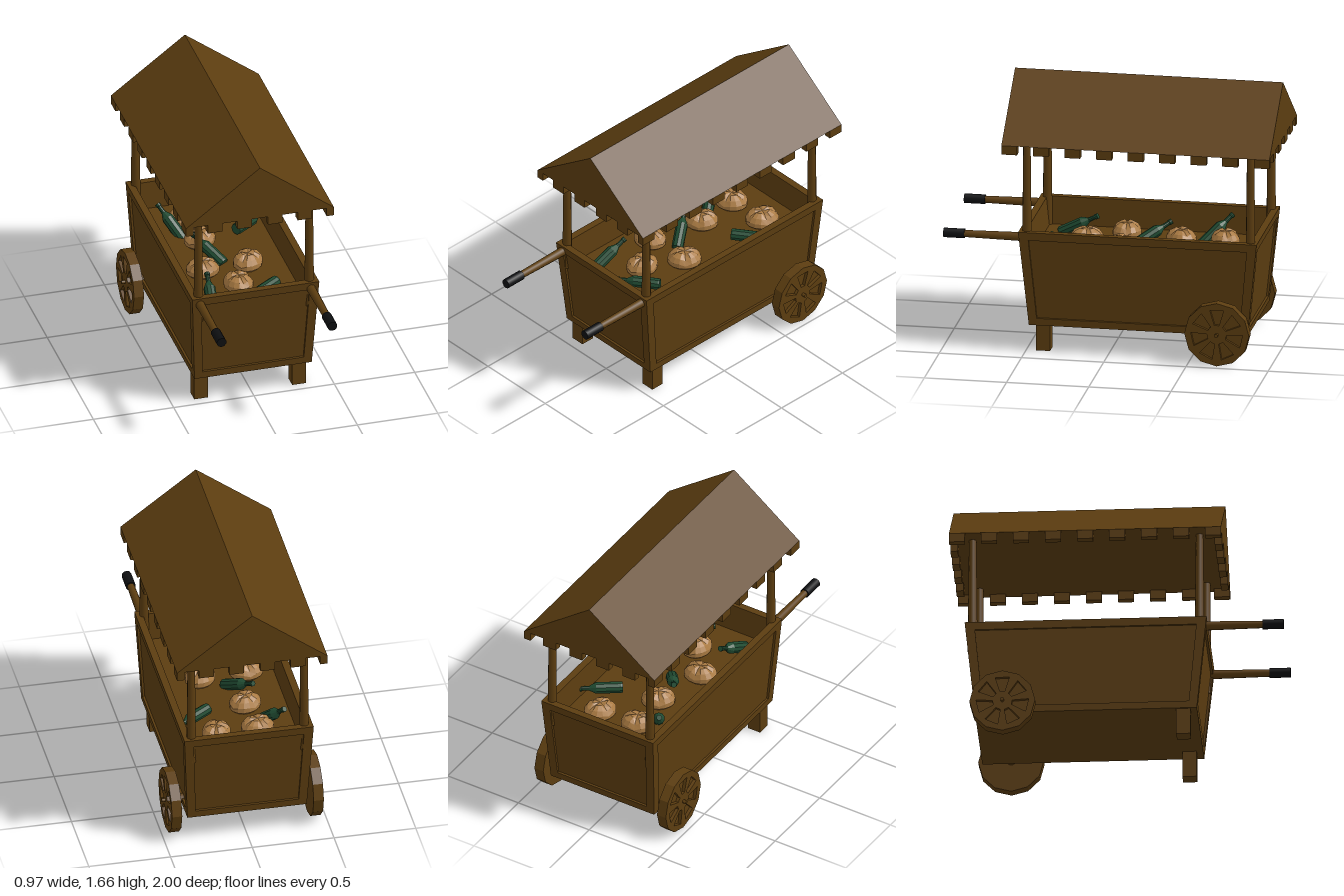
import * as THREE from 'three';

const wood = new THREE.MeshStandardMaterial({ color: 0x5c3d10 });
wood.name = 'brown wood';
const black = new THREE.MeshStandardMaterial({ color: 0x0e0f11 });
black.name = 'black grip';
const crust = new THREE.MeshStandardMaterial({ color: 0xa97a42 });
crust.name = 'bread crust';
const glass = new THREE.MeshStandardMaterial({ color: 0x1f4a31 });
glass.name = 'green glass';
for (const m of [wood, black, crust, glass]) m.flatShading = false;

const V = (x, y, z) => new THREE.Vector3(x, y, z);

function add(parent, name, geometry, material, x = 0, y = 0, z = 0) {
  const mesh = new THREE.Mesh(geometry, material);
  mesh.name = name;
  mesh.position.set(x, y, z);
  parent.add(mesh);
  return mesh;
}

// flat faces from a list of four-corner loops
function quadGeometry(quads) {
  const pos = [];
  for (const [a, b, c, d] of quads) for (const p of [a, b, c, a, c, d]) pos.push(p.x, p.y, p.z);
  const g = new THREE.BufferGeometry();
  g.setAttribute('position', new THREE.Float32BufferAttribute(pos, 3));
  g.computeVertexNormals();
  return g;
}

function facet(geometry) {
  const g = geometry.index ? geometry.toNonIndexed() : geometry;
  g.computeVertexNormals();
  return g;
}

// rectangle, counter-clockwise from above starting at front left of the screen
const ring = (w, y, zf, zb) => [V(-w, y, zf), V(w, y, zf), V(w, y, zb), V(-w, y, zb)];

// tapered tub with recessed panels on all four walls
function tubGeometry() {
  const bottom = ring(0.365, 0.165, 0.48, -0.85);
  const top = ring(0.395, 0.752, 0.54, -0.91);
  const innerTop = ring(0.352, 0.752, 0.497, -0.867);
  const floor = ring(0.342, 0.58, 0.48, -0.85);
  const quads = [[...bottom].reverse(), floor];
  for (let i = 0; i < 4; i++) {
    const j = (i + 1) % 4;
    const outer = [bottom[i], bottom[j], top[j], top[i]];
    const at = (u, v) => outer[0].clone().lerp(outer[1], u).lerp(outer[3].clone().lerp(outer[2], u), v);
    const normal = outer[1].clone().sub(outer[0]).cross(outer[3].clone().sub(outer[0])).normalize();
    const m = 0.052 / outer[0].distanceTo(outer[1]);
    const edge = [at(m, 0.075), at(1 - m, 0.075), at(1 - m, 0.915), at(m, 0.915)];
    const sunk = edge.map((p) => p.clone().addScaledVector(normal, -0.014));
    for (let k = 0; k < 4; k++) {
      const n = (k + 1) % 4;
      quads.push([outer[k], outer[n], edge[n], edge[k]], [edge[k], edge[n], sunk[n], sunk[k]]);
    }
    quads.push(sunk, [top[i], top[j], innerTop[j], innerTop[i]], [innerTop[i], innerTop[j], floor[j], floor[i]]);
  }
  return quadGeometry(quads);
}

// twelve-sided wheel with seven openings sunk into its outer face
function makeWheel(side) {
  const wheel = new THREE.Group();
  wheel.name = side > 0 ? 'leftWheel' : 'rightWheel';
  const disc = new THREE.Shape();
  for (let i = 0; i < 12; i++) {
    const a = (i / 12) * Math.PI * 2;
    disc[i ? 'lineTo' : 'moveTo'](Math.cos(a) * 0.197, Math.sin(a) * 0.197);
  }
  disc.closePath();
  const face = disc.clone();
  for (let i = 0; i < 7; i++) {
    const a = Math.PI / 2 + (i / 7) * Math.PI * 2;
    const pts = [[0.06, -0.24], [0.158, -0.27], [0.158, 0.27], [0.06, 0.24]]
      .map(([r, d]) => new THREE.Vector2(Math.cos(a + d) * r, Math.sin(a + d) * r));
    face.holes.push(new THREE.Path(pts.reverse()));
  }
  add(wheel, 'wheelBack', new THREE.ExtrudeGeometry(disc, { depth: 0.042, bevelEnabled: false }), wood);
  add(wheel, 'wheelSpokes', new THREE.ExtrudeGeometry(face, { depth: 0.02, bevelEnabled: false }), wood, 0, 0, 0.042);
  const pin = add(wheel, 'wheelPin', new THREE.CylinderGeometry(0.011, 0.011, 0.05, 8), wood, 0, 0, 0.06);
  pin.rotation.x = Math.PI / 2;
  wheel.rotation.y = side * Math.PI / 2;
  wheel.position.set(side * 0.402, 0.198, -0.68);
  return wheel;
}

// faceted loaf with a cross pressed into its top
function loafGeometry() {
  const g = new THREE.SphereGeometry(0.105, 16, 7);
  const p = g.attributes.position;
  for (let i = 0; i < p.count; i++) {
    const x = p.getX(i), y = p.getY(i), z = p.getZ(i);
    const groove = y > 0.01 && (Math.abs(x) < 0.01 || Math.abs(z) < 0.01);
    p.setXYZ(i, x, Math.max(y, -0.05) * 0.66 - (groove ? 0.012 : 0), z * 0.85);
  }
  return facet(g);
}

export function createModel() {
  const cart = new THREE.Group();
  cart.name = 'marketCart';
  add(cart, 'tub', tubGeometry(), wood);

  // front legs
  for (const x of [-0.3125, 0.2975])
    add(cart, 'frontLeg', new THREE.BoxGeometry(0.085, 0.18, 0.085), wood, x, 0.09, 0.398);

  // axle and wheels
  const axle = add(cart, 'axle', new THREE.CylinderGeometry(0.027, 0.027, 0.82, 10), wood, 0, 0.2, -0.68);
  axle.rotation.z = Math.PI / 2;
  for (const side of [-1, 1]) cart.add(makeWheel(side));

  // push handles with black grips, and roof posts
  for (const x of [-0.345, 0.345]) {
    const bar = add(cart, 'handleBar', new THREE.CylinderGeometry(0.022, 0.028, 0.37, 10), wood, x, 0.71, 0.7);
    const grip = add(cart, 'handleGrip', new THREE.CylinderGeometry(0.03, 0.03, 0.127, 10), black, x, 0.71, 0.9365);
    bar.rotation.x = grip.rotation.x = Math.PI / 2;
    for (const z of [0.495, -0.865])
      add(cart, 'roofPost', new THREE.CylinderGeometry(0.022, 0.03, 0.74, 10), wood, x, 0.95, z);
  }

  // gabled roof
  const gable = new THREE.Shape([[-0.46, 1.31], [0.46, 1.31], [0, 1.657]].map(([x, y]) => new THREE.Vector2(x, y)));
  add(cart, 'roof', new THREE.ExtrudeGeometry(gable, { depth: 1.63, bevelEnabled: false }), wood, 0, 0, -1);

  // hanging blocks along the eaves
  const block = (w, d, x, z) => add(cart, 'eaveBlock', new THREE.BoxGeometry(w, 0.055, d), wood, x, 1.2825, z);
  for (const side of [-1, 1])
    for (let i = 0; i < 9; i++) block(0.045, 0.095, side * 0.4375, 0.5825 - i * 0.1919);
  for (const z of [0.6075, -0.9775])
    for (const x of [-0.28, -0.095, 0.095, 0.28]) block(0.09, 0.045, x, z);

  // bread loaves: x, z, turn
  const loaf = loafGeometry();
  const loaves = [[-0.11, -0.63, 0.3], [0.145, -0.645, 1.2], [-0.09, -0.365, 0.6], [-0.17, -0.02, 0.1],
    [0.115, -0.035, 0.9], [-0.01, 0.195, 1.7]];
  for (const [x, z, turn] of loaves) add(cart, 'breadLoaf', loaf, crust, x, 0.615, z).rotation.y = turn;

  // bottles: position of the middle, then direction of the neck
  const profile = [[0, -0.13], [0.034, -0.13], [0.036, -0.12], [0.036, 0.03], [0.015, 0.07], [0.013, 0.115],
    [0.017, 0.117], [0.017, 0.135], [0, 0.135]].map(([x, y]) => new THREE.Vector2(x, y));
  const bottle = facet(new THREE.LatheGeometry(profile, 10));
  const bottles = [
    [V(0.104, 0.625, 0.33), V(-0.81, 0, 0.58)],
    [V(0.25, 0.625, -0.47), V(0.81, 0, -0.58)],
    [V(-0.21, 0.63, 0.28), V(0.1, 0.45, -0.85)],
    [V(-0.085, 0.64, -0.195), V(-0.52, 0.43, -0.73)],
    [V(-0.215, 0.64, -0.56), V(-0.4, 0.6, -0.6)],
  ];
  for (const [p, dir] of bottles)
    add(cart, 'bottle', bottle, glass, p.x, p.y, p.z).quaternion.setFromUnitVectors(V(0, 1, 0), dir.normalize());

  return cart;
}
